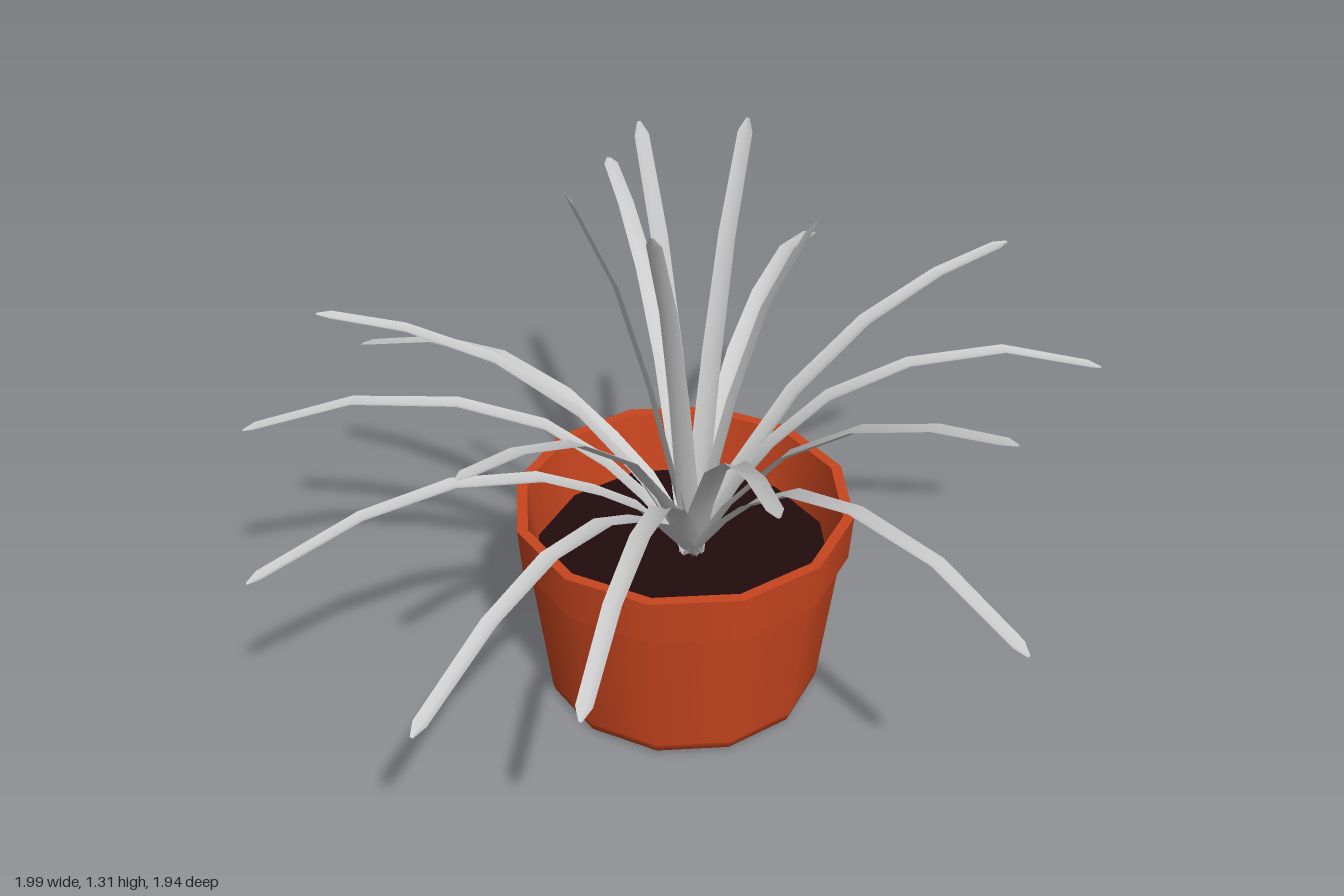
import * as THREE from 'three';

const CENTRE_Z = -0.04;

// Leaf profiles: [share of reach, height] from soil to tip
const PROFILES = {
  upright: [[0, 0.33], [0.17, 0.55], [0.38, 0.82], [0.64, 1.08], [1, 1.31]],
  leaning: [[0, 0.33], [0.14, 0.53], [0.32, 0.72], [0.54, 0.86], [0.77, 0.94], [1, 0.98]],
  arching: [[0, 0.33], [0.12, 0.5], [0.2, 0.59], [0.33, 0.69], [0.52, 0.75], [0.75, 0.755], [1, 0.68]],
  drooping: [[0, 0.33], [0.13, 0.5], [0.23, 0.575], [0.36, 0.65], [0.55, 0.69], [0.75, 0.665], [1, 0.57]],
};

// Tip position of each leaf [x, z, height offset]
const LEAVES = {
  upright: [[-0.26, -0.19], [-0.09, -0.36], [0.32, -0.07], [0.12, 0.2], [-0.14, 0.17]],
  leaning: [[0.33, -0.81, -0.01], [-0.66, -0.52], [0.81, -0.09], [0.62, 0.42, 0.02], [0.1, 0.73, 0.03], [-0.57, 0.5, 0.03]],
  arching: [[-0.345, -0.97, 0.02], [0.64, -0.75, 0.1], [0.99, 0.1, -0.01], [0.48, 0.81, 0.01], [-0.745, 0.61, 0.01]],
  drooping: [[0.185, 0.965, 0.01], [-0.42, 0.875, 0.01], [-1, 0.05, -0.01]],
};

// Creased ribbon following a profile out to its tip
function leafGeometry(profile, [tipX, tipZ, lift = 0]) {
  const base = new THREE.Vector2(0.01, -0.06);
  const reach = new THREE.Vector2(tipX, tipZ).sub(base);
  const dir = reach.clone().normalize();
  const side = new THREE.Vector3(-dir.y, 0, dir.x);
  const points = profile.map(([t, y]) => new THREE.Vector3(
    base.x + reach.x * t, y + lift * t ** 0.5, base.y + reach.y * t));
  // Shoulder just before the pointed tip
  const tip = points[points.length - 1];
  const last = points[points.length - 2];
  const shoulder = tip.clone().add(last.clone().sub(tip).setLength(0.03));
  points.splice(points.length - 1, 0, shoulder);

  const positions = [], indices = [];
  const rows = points.length;
  points.forEach((p, i) => {
    const half = i === rows - 1 ? 0.004 : 0.03 - 0.013 * i / (rows - 2);
    const ahead = points[Math.min(i + 1, rows - 1)].clone().sub(points[Math.max(i - 1, 0)]).normalize();
    const up = side.clone().cross(ahead).normalize();
    for (const s of [-1, 0, 1]) {
      const v = p.clone().addScaledVector(side, s * half).addScaledVector(up, s ? half * 0.3 : -half * 0.1);
      positions.push(v.x, v.y, v.z);
    }
    if (i === rows - 1) return;
    for (let k = 0; k < 2; k++) {
      const a = i * 3 + k;
      indices.push(a, a + 1, a + 3, a + 1, a + 4, a + 3);
    }
  });
  const geometry = new THREE.BufferGeometry();
  geometry.setAttribute('position', new THREE.Float32BufferAttribute(positions, 3));
  geometry.setIndex(indices);
  geometry.computeVertexNormals();
  return geometry;
}

export function createModel() {
  const terracotta = new THREE.MeshStandardMaterial({ color: 0xc8451f });
  terracotta.name = 'terracotta';
  const earth = new THREE.MeshStandardMaterial({ color: 0x220c0d });
  earth.name = 'darkEarth';
  const leafGrey = new THREE.MeshStandardMaterial({ color: 0xcccccc, side: THREE.DoubleSide });
  leafGrey.name = 'leafGrey';

  const model = new THREE.Group();
  model.name = 'pottedPlant';

  // Twelve-sided pot; repeated profile points keep the rim edges sharp
  const profile = [
    [0, 0], [0.305, 0], [0.305, 0], [0.322, 0.01], [0.328, 0.03], [0.328, 0.03],
    [0.37, 0.385], [0.37, 0.385], [0.387, 0.385], [0.387, 0.385],
    [0.395, 0.5], [0.395, 0.5], [0.37, 0.5], [0.37, 0.5], [0.345, 0.32],
  ].map(([r, y]) => new THREE.Vector2(r, y));
  const pot = new THREE.Mesh(new THREE.LatheGeometry(profile, 12), terracotta);
  pot.name = 'pot';
  pot.position.z = CENTRE_Z;
  model.add(pot);

  // Soil disc
  const soil = new THREE.Mesh(new THREE.CylinderGeometry(0.35, 0.345, 0.02, 12), earth);
  soil.name = 'soil';
  soil.position.set(0, 0.335, CENTRE_Z);
  model.add(soil);

  // Leaves
  const leaves = new THREE.Group();
  leaves.name = 'leaves';
  for (const [kind, tips] of Object.entries(LEAVES)) {
    for (const tip of tips) {
      const leaf = new THREE.Mesh(leafGeometry(PROFILES[kind], tip), leafGrey);
      leaf.name = `${kind}Leaf`;
      leaves.add(leaf);
    }
  }
  model.add(leaves);
  return model;
}
